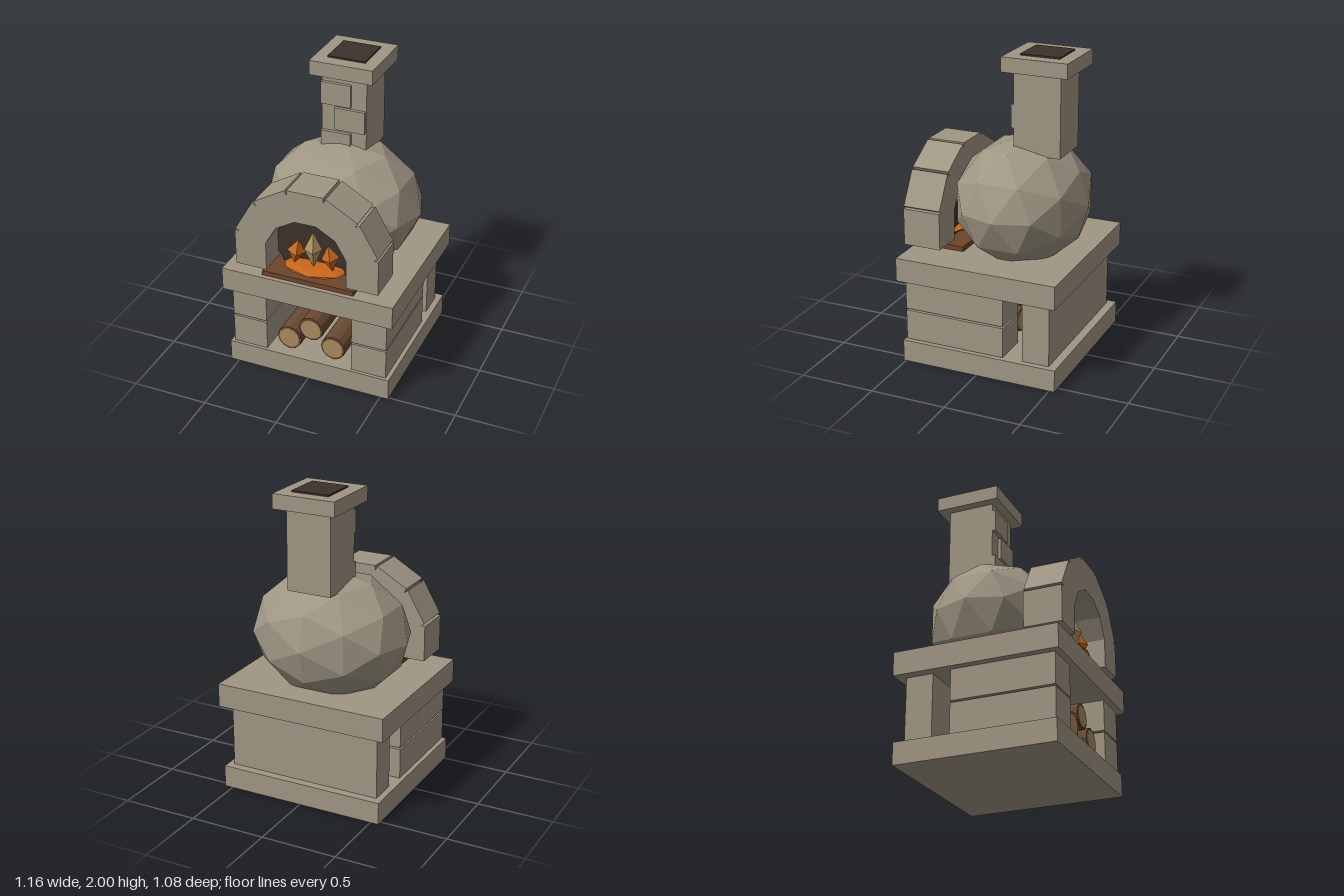
import * as THREE from 'three';

const mat = (name, color) => {
  const m = new THREE.MeshStandardMaterial({ color });
  m.name = name;
  return m;
};

export function createModel() {
  const stone = mat('stone', 0xa09684);
  const soot = mat('soot', 0x3b312a);
  const hearthBrown = mat('hearth brown', 0x6e4529);
  const bark = mat('bark', 0x6b4a33);
  const cutWood = mat('cut wood', 0xa98b5d);
  const ember = mat('ember orange', 0xc9661c);
  const flameTip = mat('pale flame', 0xb0925f);
  for (const m of [stone, soot, hearthBrown, bark, cutWood, ember, flameTip]) m.flatShading = true;

  const model = new THREE.Group();
  model.name = 'stoneOven';

  const add = (name, geometry, material, x = 0, y = 0, z = 0) => {
    const mesh = new THREE.Mesh(geometry, material);
    mesh.name = name;
    mesh.position.set(x, y, z);
    model.add(mesh);
    return mesh;
  };
  // box given by its extents on each axis
  const block = (name, material, [x0, x1], [y0, y1], [z0, z1]) =>
    add(name, new THREE.BoxGeometry(x1 - x0, y1 - y0, z1 - z0), material,
      (x0 + x1) / 2, (y0 + y1) / 2, (z0 + z1) / 2);

  // stand: base, two courses of side wall, back wall, worktop
  block('base', stone, [-0.555, 0.555], [0, 0.145], [-0.535, 0.515]);
  for (const [x0, x1] of [[-0.53, -0.295], [0.295, 0.53]]) {
    block('lowerSideWall', stone, [x0, x1], [0.15, 0.35], [-0.175, 0.5]);
    block('upperSideWall', stone, [x0, x1], [0.362, 0.566], [-0.175, 0.5]);
  }
  block('backWall', stone, [-0.515, 0.515], [0.144, 0.566], [-0.48, -0.3]);
  block('worktop', stone, [-0.58, 0.58], [0.565, 0.72], [-0.54, 0.54]);

  // firewood in the store
  for (const [x, y] of [[-0.152, 0.247], [0.152, 0.247], [0, 0.353]]) {
    const log = new THREE.CylinderGeometry(0.083, 0.083, 0.6, 12).rotateX(Math.PI / 2);
    add('log', log, bark, x, y, 0.16);
    for (const z of [-0.141, 0.461]) {
      const end = new THREE.CylinderGeometry(0.071, 0.071, 0.006, 12).rotateX(Math.PI / 2);
      add('logEnd', end, cutWood, x, y, z);
    }
  }

  // faceted dome
  add('dome', new THREE.IcosahedronGeometry(1, 1).scale(0.526, 0.42, 0.435), stone, 0, 1.03, -0.092);

  // arch of seven stones around the mouth
  for (let i = 0; i < 7; i++) {
    const a = (i * Math.PI) / 6;
    const r = 0.375;
    const s = add('archStone', new THREE.BoxGeometry(0.21, 0.24, 0.25), stone,
      r * Math.cos(a), 0.9 + r * Math.sin(a), 0.403);
    s.rotation.z = a;
  }

  // dark mouth and hearth tray
  const mouth = new THREE.CylinderGeometry(0.277, 0.277, 0.008, 12, 1, false, Math.PI / 12);
  add('ovenMouth', mouth.rotateX(Math.PI / 2), soot, 0, 0.9, 0.35);
  block('hearthTray', hearthBrown, [-0.31, 0.31], [0.715, 0.752], [0.2, 0.51]);

  // fire
  add('embers', new THREE.IcosahedronGeometry(1, 1).scale(0.205, 0.026, 0.12), ember, 0, 0.784, 0.39);
  const flame = (name, material, x, y, w, h, tilt) => {
    const f = add(name, new THREE.OctahedronGeometry(1, 0).rotateY(0.35).scale(w, h, w), material, x, y, 0.41);
    f.rotation.z = tilt;
  };
  flame('middleFlame', flameTip, 0, 0.925, 0.057, 0.13, 0);
  for (const side of [-1, 1]) flame('sideFlame', ember, side * 0.115, 0.888, 0.058, 0.09, side * 0.18);

  // chimney with raised stones, cap and flue
  block('chimneyShaft', stone, [-0.15, 0.15], [1.37, 1.9], [-0.39, -0.08]);
  [[-0.05, 1.435], [0.045, 1.605], [-0.05, 1.77]].forEach(([x, y]) =>
    block('chimneyStone', stone, [x - 0.1, x + 0.1], [y - 0.075, y + 0.075], [-0.1, -0.058]));
  block('chimneyCap', stone, [-0.21, 0.21], [1.895, 1.99], [-0.455, -0.02]);
  block('flueOpening', soot, [-0.125, 0.125], [1.985, 2], [-0.37, -0.11]);

  return model;
}
